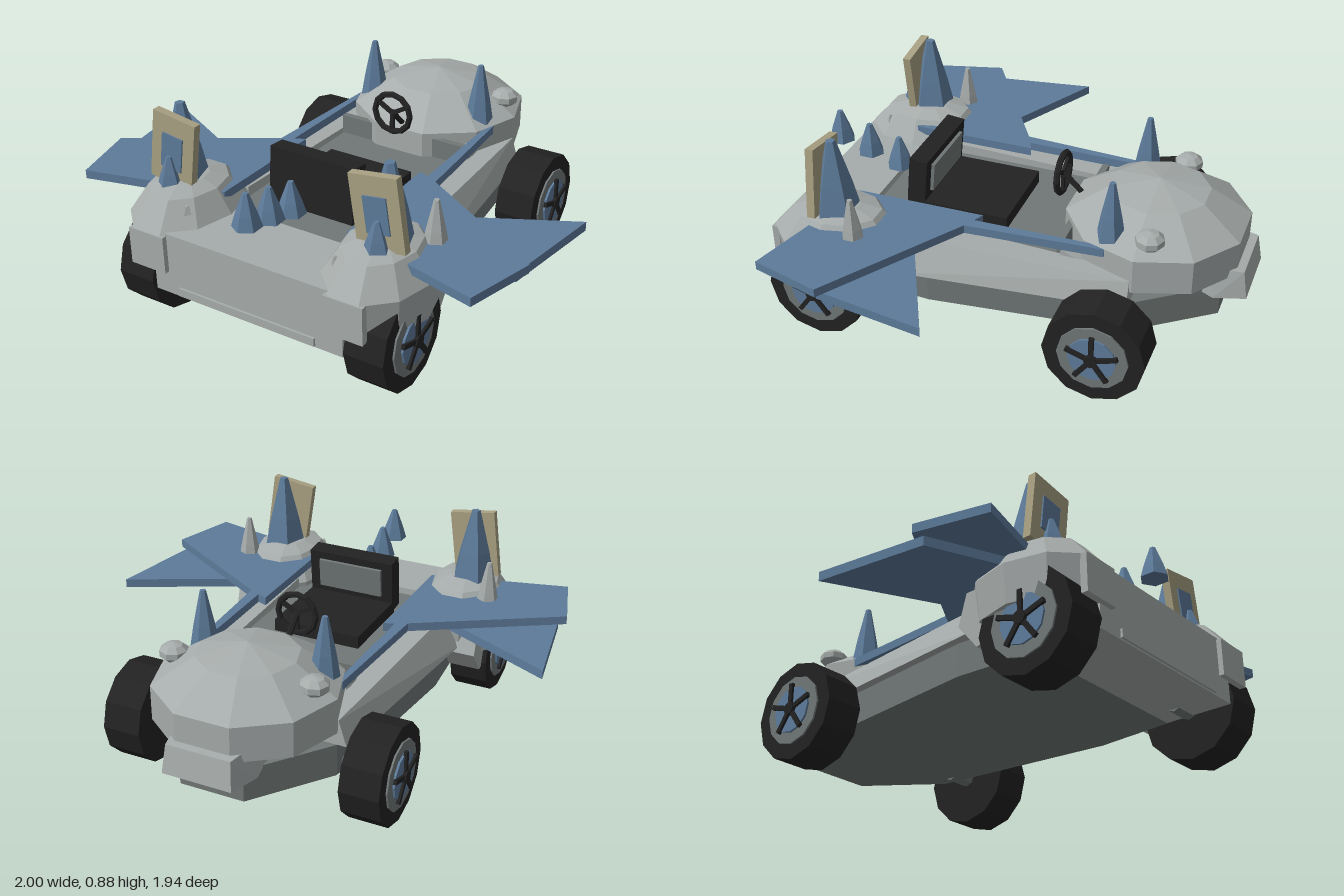
import * as THREE from 'three';
import { ConvexGeometry } from 'three/addons/geometries/ConvexGeometry.js';

export function createModel() {
  const model = new THREE.Group();
  model.name = 'spikedKart';

  const mat = (name, color) => {
    const m = new THREE.MeshStandardMaterial({ color });
    m.name = name;
    m.flatShading = true;
    return m;
  };
  const grey = mat('light grey shell', 0xa6acab);
  const dark = mat('dark grey chassis', 0x707776);
  const blue = mat('steel blue', 0x5d7b9a);
  const tan = mat('tan', 0xa8a082);
  const black = mat('black', 0x222222);

  const add = (parent, name, geo, material, x = 0, y = 0, z = 0) => {
    const m = new THREE.Mesh(geo, material);
    m.name = name;
    m.position.set(x, y, z);
    parent.add(m);
    return m;
  };
  const box = (w, h, d) => new THREE.BoxGeometry(w, h, d);
  const hull = pts => new ConvexGeometry(pts.map(p => new THREE.Vector3(...p)));
  // Plate cut from an (x, z) outline, between two heights
  const plate = (pts, y0, y1) => {
    const shape = new THREE.Shape(pts.map(p => new THREE.Vector2(...p)));
    const g = new THREE.ExtrudeGeometry(shape, { depth: y1 - y0, bevelEnabled: false });
    return g.rotateX(Math.PI / 2).translate(0, y1, 0);
  };
  const mirrored = half => half.concat(half.map(([x, z]) => [-x, z]).reverse());
  // Lathe from (radius, height) points listed bottom to top
  const lathe = (pts, sides, start = 0) =>
    new THREE.LatheGeometry(pts.map(p => new THREE.Vector2(...p)), sides, start);
  // Faceted spike with a blunt tip, its base at the given height
  const spike = (parent, name, material, r, y0, y1, x, z, sides = 6) =>
    add(parent, name, lathe([[0, 0], [r, 0], [r * 0.72, (y1 - y0) * 0.4], [r * 0.2, y1 - y0], [0, y1 - y0]], sides),
      material, x, y0, z);

  // Chassis and cockpit floor
  add(model, 'chassis', plate(mirrored([[0.14, -0.86], [0.38, -0.54], [0.47, 0.3], [0.44, 0.7]]), 0.18, 0.32), dark);
  add(model, 'cockpitFloor', plate(mirrored([[0.3, -0.5], [0.32, 0.66]]), 0.31, 0.42), dark);
  add(model, 'cockpitWall', box(0.62, 0.13, 0.03), dark, 0, 0.44, -0.225);

  // Front deck with bottom lip
  add(model, 'frontDeck', box(0.88, 0.27, 0.3), grey, 0, 0.315, 0.8);
  add(model, 'frontLip', box(0.64, 0.035, 0.02), grey, 0, 0.205, 0.95);

  // Rear dome
  add(model, 'rearDome', lathe([[0, 0.32], [0.27, 0.33], [0.385, 0.38], [0.385, 0.53], [0.21, 0.645], [0, 0.69]],
    10, Math.PI / 10), grey, 0, 0, -0.55);
  add(model, 'rearBumper', hull([-1, 1].flatMap(s => [
    [s * 0.15, 0.29, -0.97], [s * 0.14, 0.41, -0.95], [s * 0.17, 0.42, -0.8],
    [s * 0.19, 0.29, -0.84], [s * 0.19, 0.37, -0.65]])), grey);

  // Seat
  add(model, 'seatCushion', box(0.4, 0.07, 0.4), black, 0, 0.44, 0.25);
  const seatBack = add(model, 'seatBack', box(0.4, 0.24, 0.08), black, 0, 0.555, 0.455);
  seatBack.rotation.x = -0.1;
  add(seatBack, 'seatPanel', box(0.3, 0.13, 0.02), dark, 0, 0.02, -0.045);

  // Steering wheel and column
  const steering = new THREE.Group();
  steering.name = 'steeringWheel';
  steering.position.set(0, 0.625, -0.13);
  model.add(steering);
  add(steering, 'rim', new THREE.TorusGeometry(0.087, 0.014, 6, 12), black);
  for (let i = 0; i < 3; i++) {
    const a = Math.PI / 2 + i * Math.PI * 2 / 3 + Math.PI;
    add(steering, 'spoke', box(0.085, 0.018, 0.014), black, Math.cos(a) * 0.042, Math.sin(a) * 0.042, 0).rotation.z = a;
  }
  const column = add(steering, 'column', new THREE.CylinderGeometry(0.013, 0.013, 0.16, 6), black, 0, -0.05, -0.055);
  column.rotation.x = 0.8;

  // Rising row of spikes on the front deck
  for (let i = 0; i < 3; i++) {
    const y = 0.5 + i * 0.04;
    spike(model, 'deckSpike', blue, 0.06, y, y + 0.14, 0, 0.63 + i * 0.14);
  }

  const addWheel = (side, name, z) => {
    const w = new THREE.Group();
    w.name = name;
    w.position.set(0.535, 0.21, z);
    side.add(w);
    const disc = (part, r, x0, x1, material, sides = 12) =>
      add(w, part, new THREE.CylinderGeometry(r, r, x1 - x0, sides).rotateZ(Math.PI / 2), material, (x0 + x1) / 2);
    disc('tyre', 0.213, -0.085, 0.085, black);
    disc('rim', 0.148, 0, 0.093, dark);
    disc('hubPlate', 0.1, 0, 0.102, blue);
    disc('hub', 0.028, 0, 0.118, black, 8);
    disc('axle', 0.04, -0.2, 0, dark, 8);
    for (let i = 0; i < 5; i++) {
      const a = i * Math.PI * 2 / 5;
      const s = add(w, 'spoke', box(0.014, 0.11, 0.02), black, 0.106, Math.cos(a) * 0.058, Math.sin(a) * 0.058);
      s.rotation.x = a;
    }
  };

  for (const dir of [1, -1]) {
    const side = new THREE.Group();
    side.name = dir > 0 ? 'leftSide' : 'rightSide';
    side.scale.x = dir;
    model.add(side);

    addWheel(side, 'frontWheel', 0.75);
    addWheel(side, 'rearWheel', -0.47);

    // Sloping side pod
    add(side, 'sidePod', hull([
      [0.31, 0.32, -0.54], [0.42, 0.32, -0.54], [0.385, 0.43, -0.54], [0.31, 0.43, -0.54],
      [0.31, 0.32, 0.5], [0.52, 0.32, 0.45], [0.45, 0.465, 0.45], [0.31, 0.465, 0.5]]), grey);
    add(side, 'cockpitCorner', hull([
      [0.2, 0.42, -0.23], [0.32, 0.42, -0.23], [0.32, 0.42, -0.33], [0.32, 0.47, -0.23], [0.3, 0.5, -0.3]]), grey);

    // Front fender over the wheel
    const fender = add(side, 'fender', lathe([[0.1, 0.27], [0.265, 0.28], [0.285, 0.44], [0.19, 0.55], [0.1, 0.575], [0, 0.58]],
      10, Math.PI / 10), grey, 0.455, 0, 0.695);
    fender.scale.x = 0.75;
    add(side, 'fenderToe', box(0.17, 0.16, 0.03), grey, 0.455, 0.36, 0.957);
    add(side, 'fenderHeel', hull([0.33, 0.6].flatMap(x => [
      [x, 0.43, 0.46], [x, 0.3, 0.42], [x, 0.19, 0.51], [x, 0.43, 0.57], [x, 0.2, 0.55]])), grey);
    spike(side, 'fenderClaw', grey, 0.035, 0.46, 0.53, 0.345, 0.845, 4);
    spike(side, 'fenderSideSpike', grey, 0.055, 0.48, 0.7, 0.6, 0.555);
    spike(side, 'fenderSpike', blue, 0.1, 0.55, 0.88, 0.48, 0.685, 5);

    // Tilted tan panel with a blue inset
    const panel = add(side, 'panel', box(0.205, 0.3, 0.035), tan, 0.47, 0.7, 0.745);
    panel.rotation.z = -0.14 * -1;
    add(panel, 'panelInset', box(0.1, 0.15, 0.008), blue, 0, -0.005, 0.02);
    spike(side, 'panelSpike', blue, 0.055, 0.555, 0.68, 0.48, 0.775, 5);

    // Layered wing with a rail along the cockpit
    add(side, 'upperWing', plate([[0.32, -0.42], [0.345, -0.42], [0.38, 0.165], [0.97, 0.53], [0.89, 0.83],
      [0.29, 0.68], [0.285, 0.12], [0.33, 0.14]], 0.493, 0.53), blue);
    add(side, 'lowerWing', plate([[0.35, 0.41], [1, 0.08], [0.93, 0.55], [0.4, 0.77]], 0.453, 0.492), blue);

    // Lamp and horn beside the dome
    add(side, 'lamp', new THREE.SphereGeometry(0.063, 8, 5).scale(1, 0.65, 1), grey, 0.31, 0.595, -0.595);
    spike(side, 'rearHorn', blue, 0.062, 0.54, 0.8, 0.27, -0.425);
  }
  return model;
}
